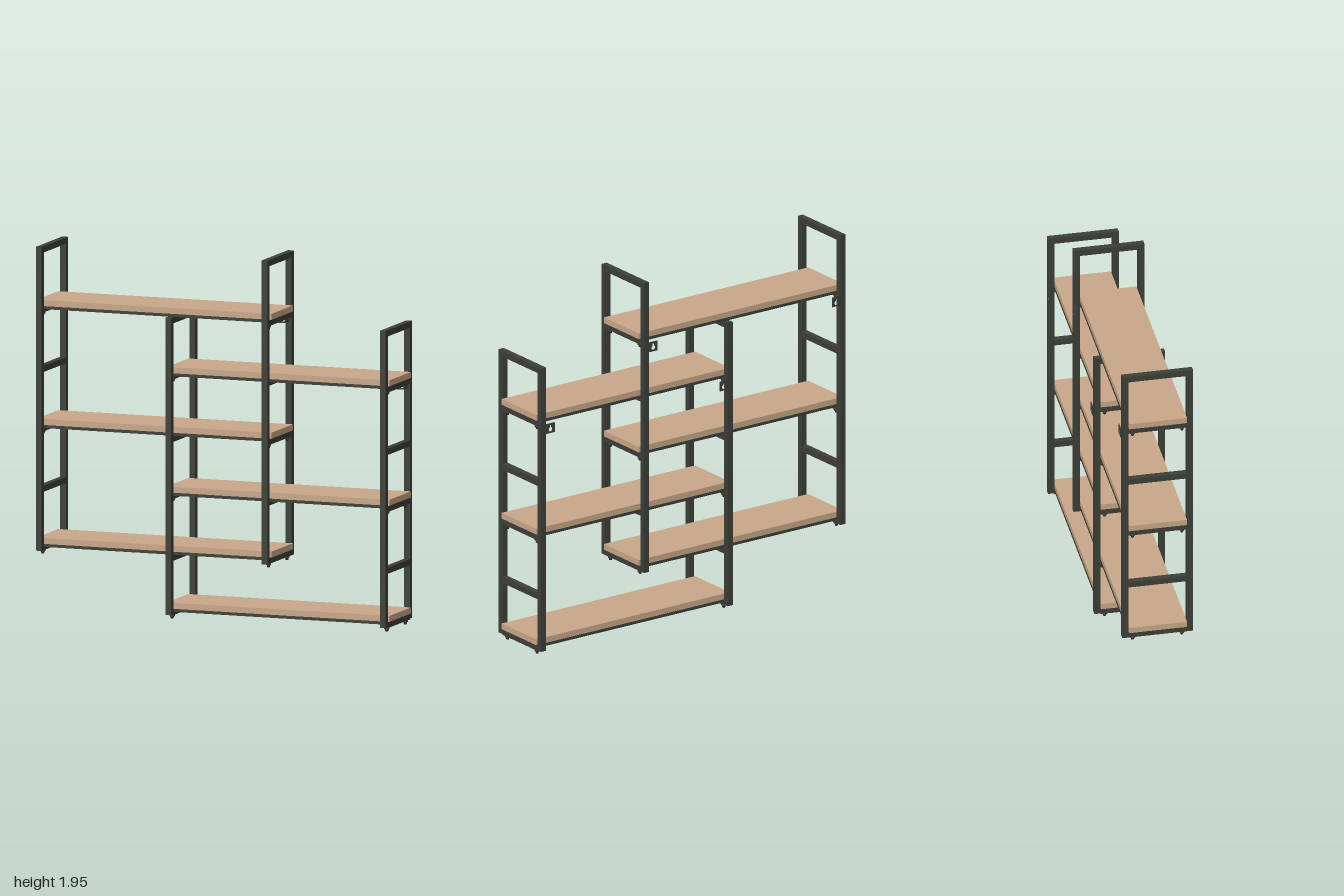
import * as THREE from 'three';

const BAR = 0.033; // square tube width
const POST_Z = 0.174;

export function createModel() {
  const metal = new THREE.MeshStandardMaterial({ color: 0x3d3f38 });
  metal.name = 'dark metal';
  const wood = new THREE.MeshStandardMaterial({ color: 0xc9a88a });
  wood.name = 'light wood';

  const root = new THREE.Group();
  root.name = 'shelvingUnit';

  function add(parent, name, geometry, material, x, y, z) {
    const mesh = new THREE.Mesh(geometry, material);
    mesh.name = name;
    mesh.position.set(x, y, z);
    parent.add(mesh);
    return mesh;
  }
  const box = (parent, name, material, w, h, d, x, y, z) =>
    add(parent, name, new THREE.BoxGeometry(w, h, d), material, x, y, z);

  // turned levelling foot, top at y = 0
  const footGeometry = new THREE.LatheGeometry([
    [0, -0.027], [0.007, -0.027], [0.009, -0.018], [0.014, -0.014], [0.014, 0], [0, 0],
  ].map(([r, y]) => new THREE.Vector2(r, y)), 12);

  // wall plate with a keyhole, centred on its own middle
  const plate = new THREE.Shape();
  plate.moveTo(-0.027, -0.027);
  plate.lineTo(0.027, -0.027);
  plate.lineTo(0.027, 0.027);
  plate.lineTo(-0.027, 0.027);
  plate.closePath();
  const keyhole = new THREE.Path();
  keyhole.moveTo(0.005, 0.016);
  keyhole.lineTo(-0.005, 0.016);
  keyhole.lineTo(-0.005, 0.004);
  keyhole.absarc(0, -0.007, 0.0125, Math.PI * 0.63, Math.PI * 2.37, false);
  keyhole.lineTo(0.005, 0.016);
  plate.holes.push(keyhole);
  const plateGeometry = new THREE.ExtrudeGeometry(plate, { depth: 0.004, bevelEnabled: false, curveSegments: 10 });

  // ladder frame: two posts, a rung under each shelf, rungs between, a top bar
  function ladder(parent, name, x, bottom, top, rungTops, shelfYs) {
    const frame = new THREE.Group();
    frame.name = name;
    parent.add(frame);
    for (const side of [-1, 1]) {
      box(frame, side > 0 ? 'frontPost' : 'backPost', metal,
        BAR, top - bottom, BAR, x, (top + bottom) / 2, side * POST_Z);
    }
    for (const y of [...rungTops, ...shelfYs, top]) {
      box(frame, 'rung', metal, BAR, BAR, POST_Z * 2 - BAR, x, y - BAR / 2, 0);
    }
    for (const y of shelfYs) {
      for (const z of [-0.133, 0.133]) add(frame, 'foot', footGeometry, metal, x, y - BAR + 0.005, z);
    }
  }

  // one bay: two ladders joined by three shelves
  function bay(name, x0, x1, boardStart, boardEnd, bottom, top, shelfYs, rungTops) {
    const group = new THREE.Group();
    group.name = name;
    root.add(group);
    ladder(group, 'rightLadder', x0, bottom, top, rungTops, shelfYs);
    ladder(group, 'leftLadder', x1, bottom, top, rungTops, shelfYs);
    for (const y of shelfYs) {
      box(group, 'shelfBoard', wood, boardEnd - boardStart, 0.032, 0.312,
        (boardStart + boardEnd) / 2, y + 0.016, 0);
      for (const z of [-0.142, 0.142]) {
        box(group, 'shelfRail', metal, x1 - x0 - BAR, 0.016, 0.03, (x0 + x1) / 2, y - 0.008, z);
      }
    }
    // wall plates beside the back posts under the top shelf
    const plateY = shelfYs[shelfYs.length - 1] - 0.044;
    for (const x of [x0 + 0.043, x1 - 0.043]) {
      add(group, 'wallPlate', plateGeometry, metal, x, plateY, -0.194);
    }
  }

  bay('tallBay', -0.974, 0.306, -1, 0.332, 0.327, 1.95, [0.36, 0.995, 1.63], [0.672, 1.312]);
  bay('lowBay', -0.24, 0.977, -0.262, 1, 0.026, 1.613, [0.055, 0.675, 1.313], [0.345, 0.98]);

  return root;
}
